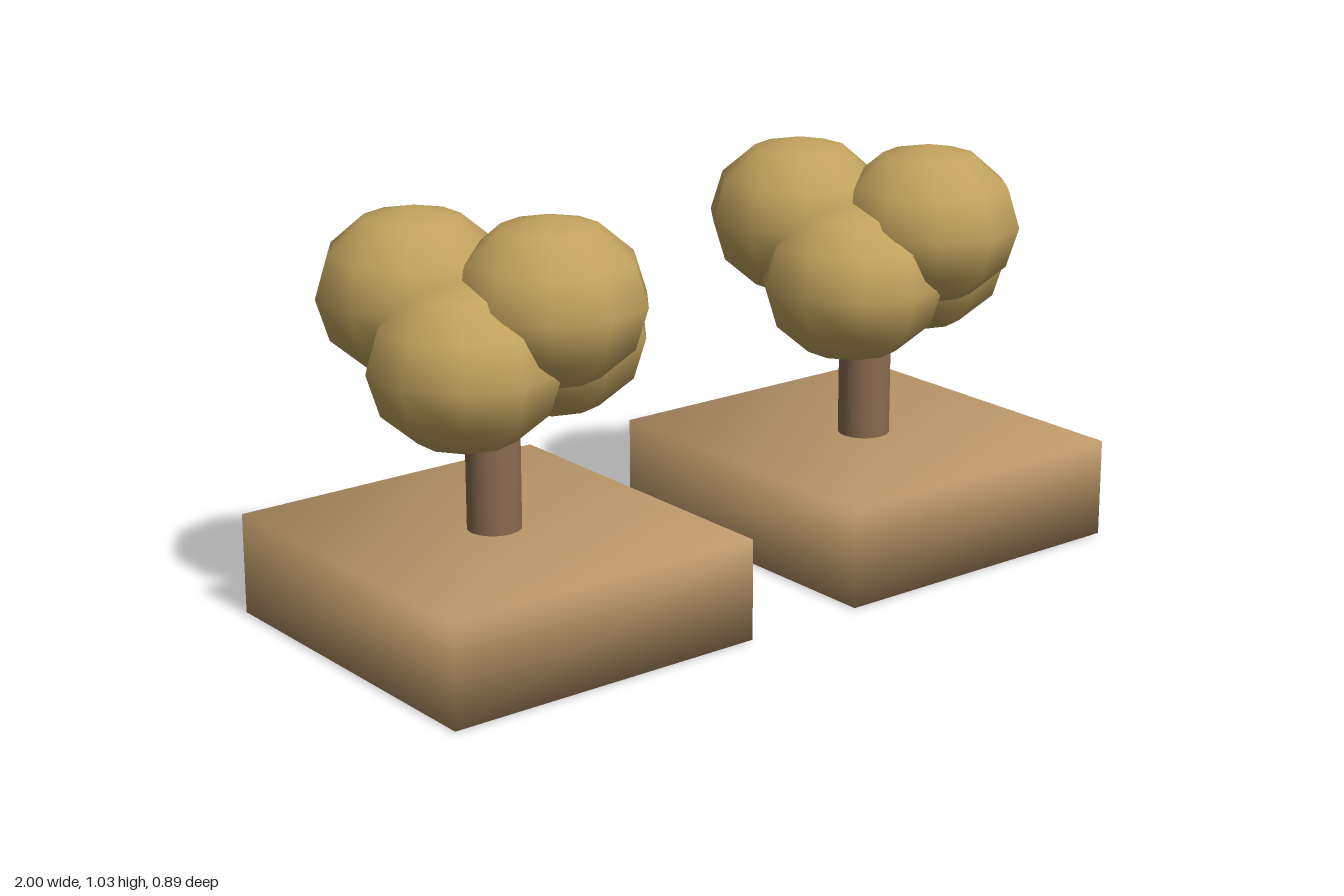
import * as THREE from 'three';
import { mergeVertices } from 'three/addons/utils/BufferGeometryUtils.js';

const mat = (name, color) => {
  const m = new THREE.MeshStandardMaterial({ color });
  m.name = name;
  return m;
};

// Weld all corners so shading runs smoothly across the edges
function welded(geometry) {
  geometry.deleteAttribute('normal');
  geometry.deleteAttribute('uv');
  const g = mergeVertices(geometry);
  g.computeVertexNormals();
  return g;
}

export function createModel() {
  const earth = mat('earth', 0xbc986a);
  const bark = mat('bark', 0x8b6b50);
  const leaves = mat('leaves', 0xc2a35e);

  const bedGeo = welded(new THREE.BoxGeometry(0.84, 0.25, 0.89));
  const trunkGeo = welded(new THREE.CylinderGeometry(0.066, 0.066, 0.65, 16));
  // Flattened ten-sided ball with corners on the z axis
  const leafGeo = new THREE.SphereGeometry(0.231, 10, 6).rotateY(Math.PI / 2).scale(1, 0.2 / 0.231, 1);

  const part = (parent, name, geometry, material, x, y, z) => {
    const mesh = new THREE.Mesh(geometry, material);
    mesh.name = name;
    mesh.position.set(x, y, z);
    parent.add(mesh);
  };

  const makePlanter = (name, x) => {
    const g = new THREE.Group();
    g.name = name;
    g.position.x = x;
    // Bed sits a hair above the trunk's foot so the trunk end shows underneath
    part(g, 'bed', bedGeo, earth, 0, 0.127, 0);
    part(g, 'trunk', trunkGeo, bark, 0, 0.325, 0);
    // Ring of five leaf clumps, alternating low and high
    for (let i = 0; i < 5; i++) {
      const a = (i * Math.PI * 2) / 5;
      part(g, 'leafClump' + (i + 1), leafGeo, leaves,
        0.173 * Math.cos(a), i % 2 ? 0.83 : 0.7, 0.173 * Math.sin(a));
    }
    return g;
  };

  const model = new THREE.Group();
  model.name = 'treePlanters';
  model.add(makePlanter('leftPlanter', 0.58), makePlanter('rightPlanter', -0.58));
  return model;
}
